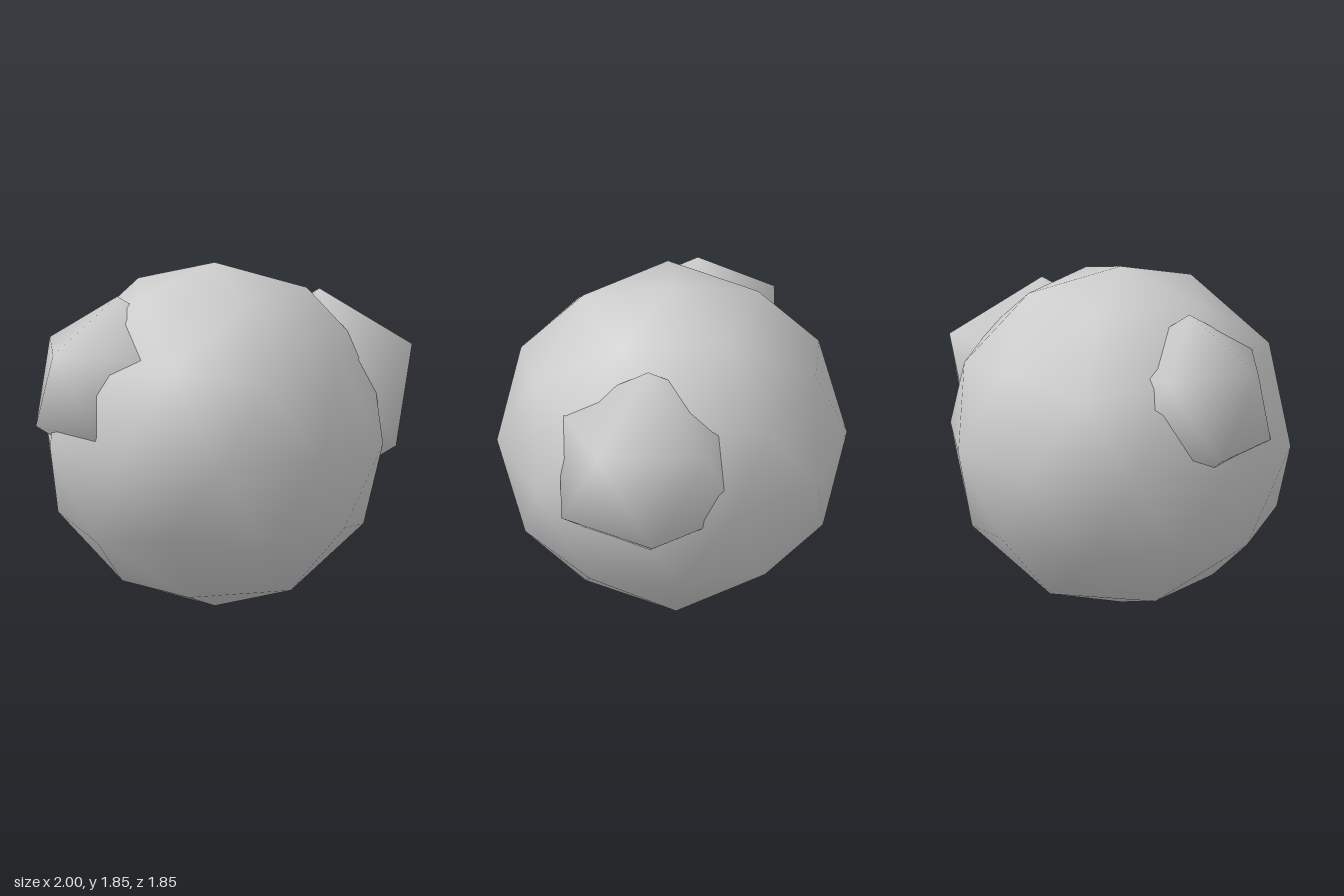
import * as THREE from 'three';

const grey = new THREE.MeshStandardMaterial({ color: 0xcccccc });
grey.name = 'light grey';

// Icosphere standing on one corner, with smooth normals
function icosphere(name, radius, detail, x, y, z) {
  const geometry = new THREE.IcosahedronGeometry(radius, detail);
  geometry.rotateZ(-Math.atan(2 / (1 + Math.sqrt(5))));
  const position = geometry.attributes.position;
  const normal = geometry.attributes.normal;
  const v = new THREE.Vector3();
  for (let i = 0; i < position.count; i++) {
    v.fromBufferAttribute(position, i).normalize();
    normal.setXYZ(i, v.x, v.y, v.z);
  }
  const mesh = new THREE.Mesh(geometry, grey);
  mesh.name = name;
  mesh.position.set(x, y, z);
  return mesh;
}

export function createModel() {
  const model = new THREE.Group();
  model.name = 'lumpyBoulder';
  model.add(
    icosphere('body', 0.925, 1, -0.05, 0.925, 0),
    // Coarser lumps sunk into the upper sides
    icosphere('leftLump', 0.548, 0, 0.51, 1.115, -0.22),
    icosphere('rightLump', 0.481, 0, -0.57, 1.225, 0.18)
  );
  return model;
}
